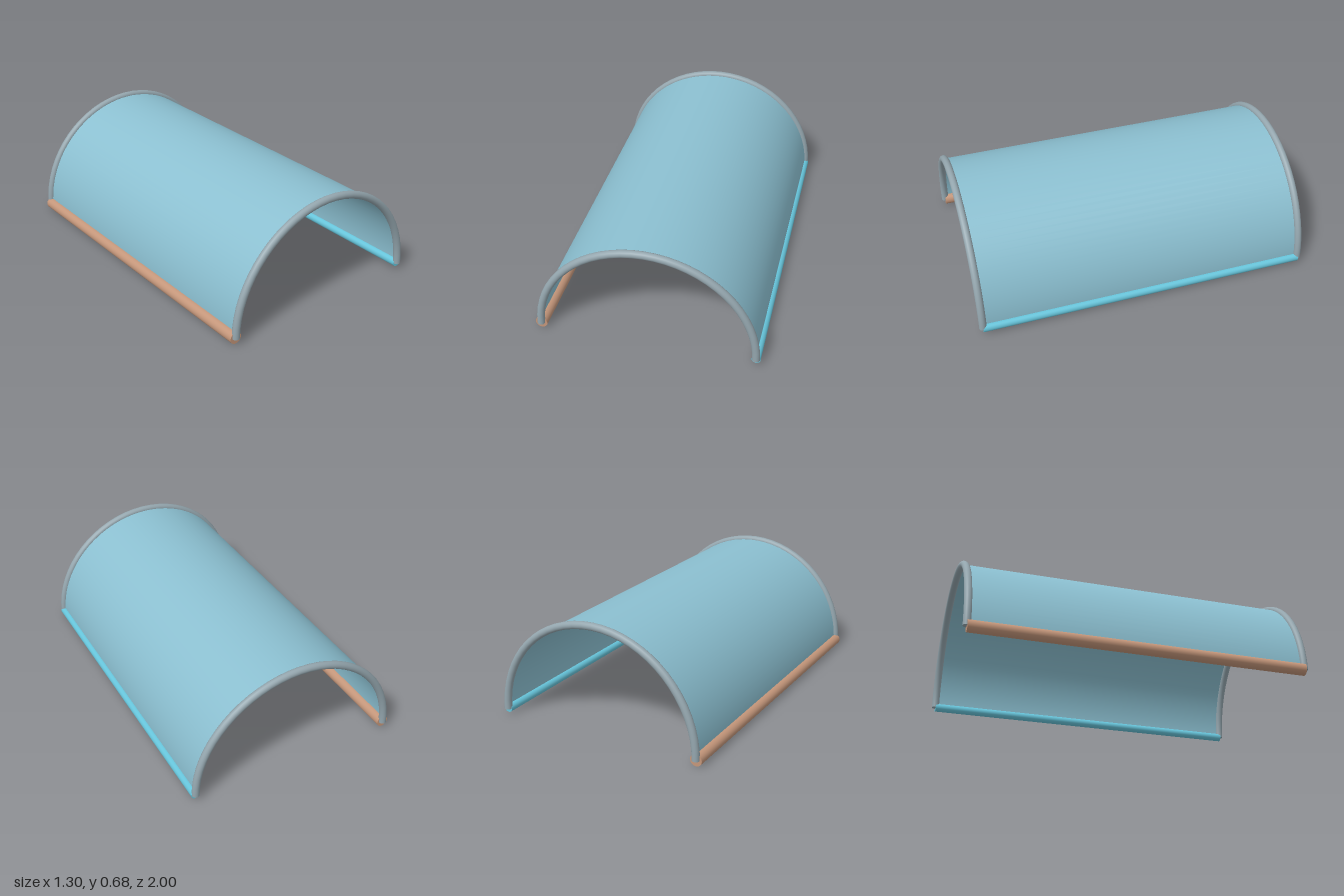
import * as THREE from 'three';

const RADIUS = 0.62;   // arch centreline
const TUBE = 0.022;    // rim thickness
const BASE = 0.036;    // height of the springing line
const CENTRE = 0.003;  // slight offset of the arch in x
const HALF = 0.978;    // half length along z

export function createModel() {
  const model = new THREE.Group();
  model.name = 'archedCanopy';

  const mat = (name, color, side = THREE.FrontSide) => {
    const m = new THREE.MeshStandardMaterial({ color, side });
    m.name = name;
    return m;
  };
  const shellBlue = mat('shellBlue', 0x8bbfd0, THREE.DoubleSide);
  const rimGrey = mat('rimGrey', 0x94a6ae);
  const brightCyan = mat('brightCyan', 0x66c4da);
  const copper = mat('copper', 0xc4967a);

  const add = (name, geometry, material, x, y, z, parent = model) => {
    const mesh = new THREE.Mesh(geometry, material);
    mesh.name = name;
    mesh.position.set(x, y, z);
    parent.add(mesh);
    return mesh;
  };

  // Thin half-cylinder cover
  const shell = new THREE.CylinderGeometry(
    RADIUS, RADIUS, HALF * 2, 48, 1, true, -Math.PI / 2, Math.PI);
  shell.rotateX(-Math.PI / 2);
  add('shell', shell, shellBlue, CENTRE, BASE, 0);

  // Round rims on both open ends, with capped feet
  const arch = new THREE.TorusGeometry(RADIUS, TUBE, 16, 32, Math.PI);
  const cap = new THREE.CircleGeometry(TUBE, 16);
  cap.rotateX(Math.PI / 2);
  for (const [end, side] of [['front', 1], ['back', -1]]) {
    const rim = new THREE.Group();
    rim.name = end + 'Rim';
    rim.position.set(CENTRE, BASE, side * HALF);
    add(end + 'Arch', arch, rimGrey, 0, 0, 0, rim);
    add(end + 'LeftFoot', cap, rimGrey, RADIUS, 0, 0, rim);
    add(end + 'RightFoot', cap, rimGrey, -RADIUS, 0, 0, rim);
    model.add(rim);
  }

  // Long rods along the two lower edges
  const rod = (r) => new THREE.CylinderGeometry(r, r, HALF * 2, 24).rotateX(Math.PI / 2);
  add('leftRod', rod(0.025), brightCyan, CENTRE + RADIUS, BASE, 0);
  add('rightRod', rod(0.035), copper, CENTRE - RADIUS, BASE, 0);

  return model;
}
